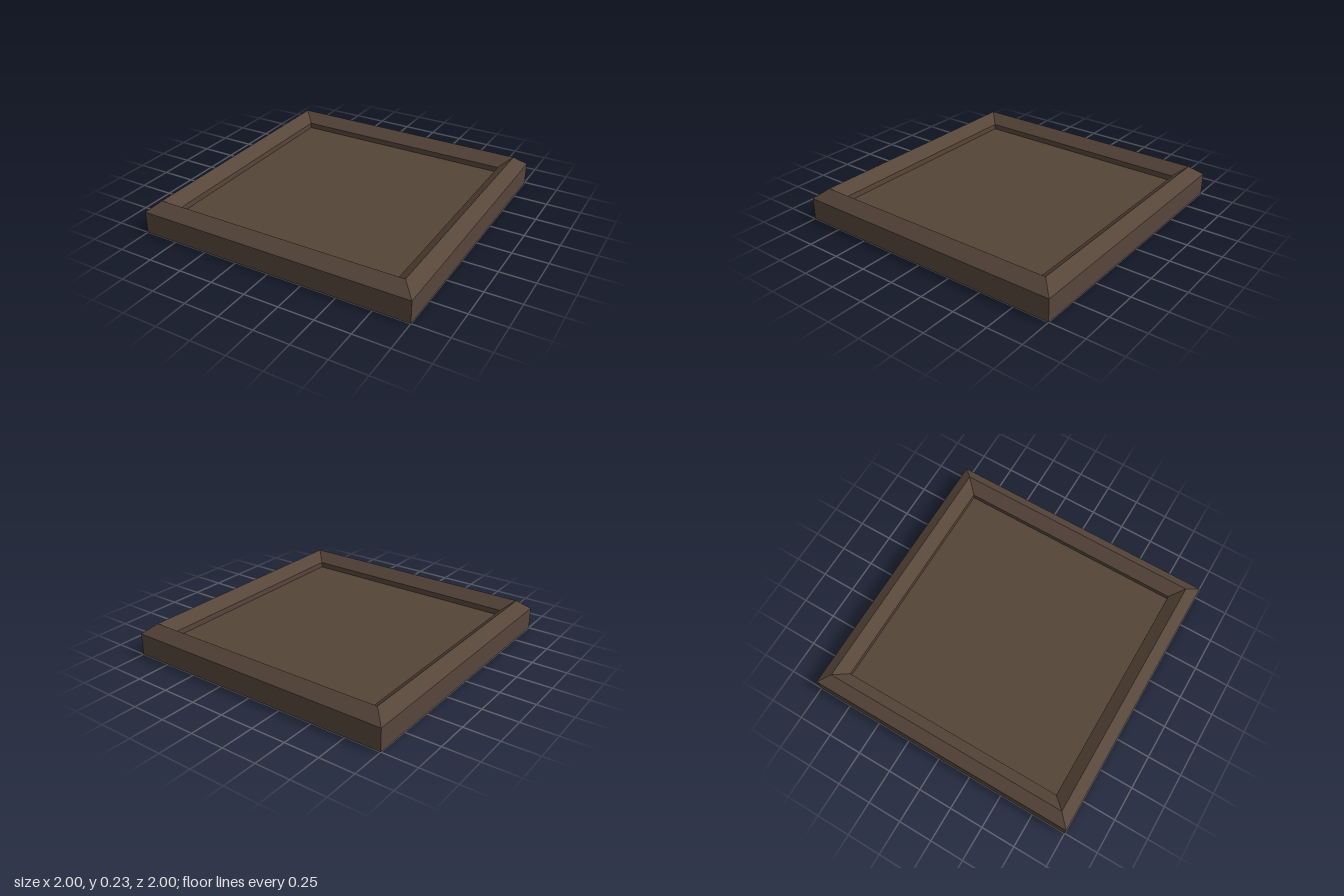
import * as THREE from 'three';

const OUTER = 1, RIDGE = 0.915, INNER = 0.83;
const RIM = 0.16, TOP = 0.23, FLOOR = 0.12;

// Sweeps a [half width, height] profile round a square with mitred corners.
function squareFrame(profile) {
  const points = profile.map(([r, y]) => new THREE.Vector2(r * Math.SQRT2, y));
  const geometry = new THREE.LatheGeometry(points, 4, Math.PI / 4).toNonIndexed();
  geometry.computeVertexNormals();
  return geometry;
}

export function createModel() {
  const frameBrown = new THREE.MeshStandardMaterial({ color: 0x57463a });
  const panelBrown = new THREE.MeshStandardMaterial({ color: 0x544637 });
  frameBrown.name = 'frameBrown';
  panelBrown.name = 'panelBrown';

  const model = new THREE.Group();
  model.name = 'squareTray';
  const add = (name, geometry, material) => {
    const mesh = new THREE.Mesh(geometry, material);
    mesh.name = name;
    model.add(mesh);
    return mesh;
  };

  // Raised rim: outer wall, two bevels meeting at a ridge, short inner wall
  add('frame', squareFrame([
    [OUTER, 0], [OUTER, RIM], [RIDGE, TOP], [INNER, RIM], [INNER, FLOOR],
  ]), frameBrown);

  // Recessed floor and flat underside
  add('floorPanel', new THREE.PlaneGeometry(2 * INNER, 2 * INNER).rotateX(-Math.PI / 2), panelBrown)
    .position.y = FLOOR;
  add('underside', new THREE.PlaneGeometry(2 * OUTER, 2 * OUTER).rotateX(Math.PI / 2), panelBrown);

  return model;
}
